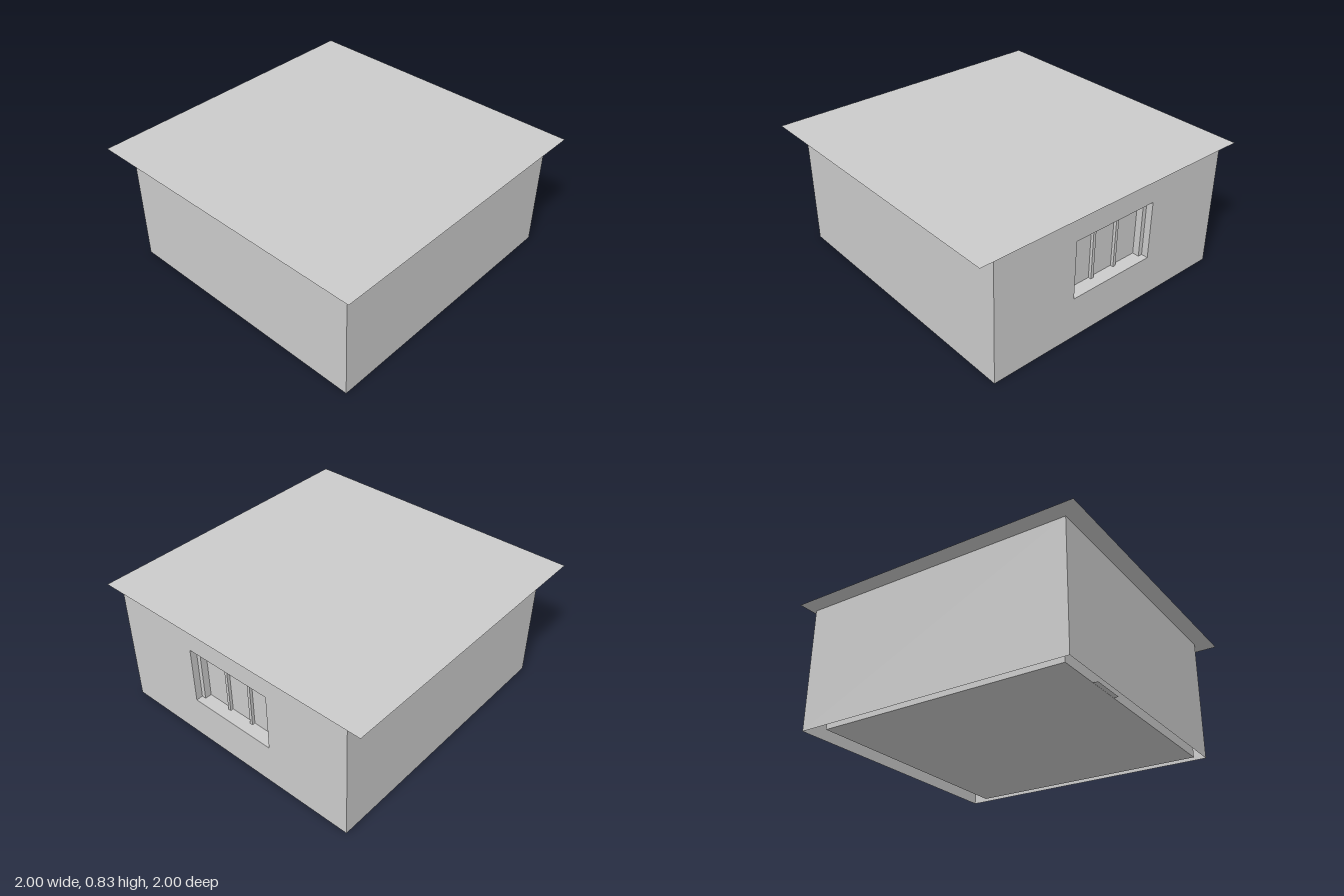
import * as THREE from 'three';

const material = new THREE.MeshStandardMaterial({ color: 0xcccccc, side: THREE.DoubleSide, flatShading: true });

export function createModel() {
  const model = new THREE.Group();
  const H = 0.835, X0 = -0.89, X1 = 0.97, Z = 0.89;

  function add(parent, name, geometry, x, y, z, rx = 0, ry = 0) {
    const mesh = new THREE.Mesh(geometry, material);
    mesh.name = name;
    mesh.position.set(x, y, z);
    mesh.rotation.set(rx, ry, 0);
    parent.add(mesh);
    return mesh;
  }
  const plane = (w, h) => new THREE.PlaneGeometry(w, h);
  // box given by its extents
  function block(parent, name, x0, x1, y0, y1, z0, z1) {
    add(parent, name, new THREE.BoxGeometry(x1 - x0, y1 - y0, z1 - z0),
      (x0 + x1) / 2, (y0 + y1) / 2, (z0 + z1) / 2);
  }

  // thin flat roof overhanging the walls
  add(model, 'roof', plane(2, 2), 0, H, 0, -Math.PI / 2);

  // outer wall skins, open at the bottom
  const walls = new THREE.Group();
  walls.name = 'outerWalls';
  model.add(walls);
  const midX = (X0 + X1) / 2;
  add(walls, 'frontWall', plane(X1 - X0, H), midX, H / 2, Z);
  add(walls, 'backWall', plane(X1 - X0, H), midX, H / 2, -Z, 0, Math.PI);
  add(walls, 'rightSideWall', plane(2 * Z, H), X0, H / 2, 0, 0, -Math.PI / 2);

  // window wall: shape x runs along -z after the turn
  const w = 0.3075, y0 = 0.28, y1 = 0.67;
  const shape = new THREE.Shape([[-Z, 0], [Z, 0], [Z, H], [-Z, H]].map(p => new THREE.Vector2(...p)));
  shape.holes.push(new THREE.Path([[-w, y0], [-w, y1], [w, y1], [w, y0]].map(p => new THREE.Vector2(...p))));
  add(walls, 'windowWall', new THREE.ShapeGeometry(shape), X1, 0, 0, 0, Math.PI / 2);

  // inner room with floor, separated from the outer skin by a gap
  block(model, 'innerRoom', -0.83, 0.83, 0, H - 0.01, -0.833, 0.833);
  add(model, 'doorThreshold', plane(0.03, 0.24), -0.845, 0.001, -0.42, Math.PI / 2);

  // recessed window
  const win = new THREE.Group();
  win.name = 'window';
  model.add(win);
  const glassX = 0.88, frameX = 0.925, depth = X1 - glassX, cx = (X1 + glassX) / 2;
  add(win, 'sill', plane(depth, 2 * w), cx, y0, 0, -Math.PI / 2);
  add(win, 'lintel', plane(depth, 2 * w), cx, y1, 0, Math.PI / 2);
  for (const s of [-1, 1]) {
    add(win, 'jamb', plane(depth, y1 - y0), cx, (y0 + y1) / 2, s * w);
    const a = s * 0.278, b = s * w;
    block(win, 'frameSide', glassX, frameX, y0, y1, Math.min(a, b), Math.max(a, b));
    block(win, 'mullion', glassX, 0.9, y0, 0.655, s * 0.0925 - 0.01, s * 0.0925 + 0.01);
  }
  block(win, 'frameTop', glassX, frameX, 0.655, y1, -0.278, 0.278);
  add(win, 'pane', plane(2 * w, y1 - y0), glassX, (y0 + y1) / 2, 0, 0, Math.PI / 2);

  return model;
}
